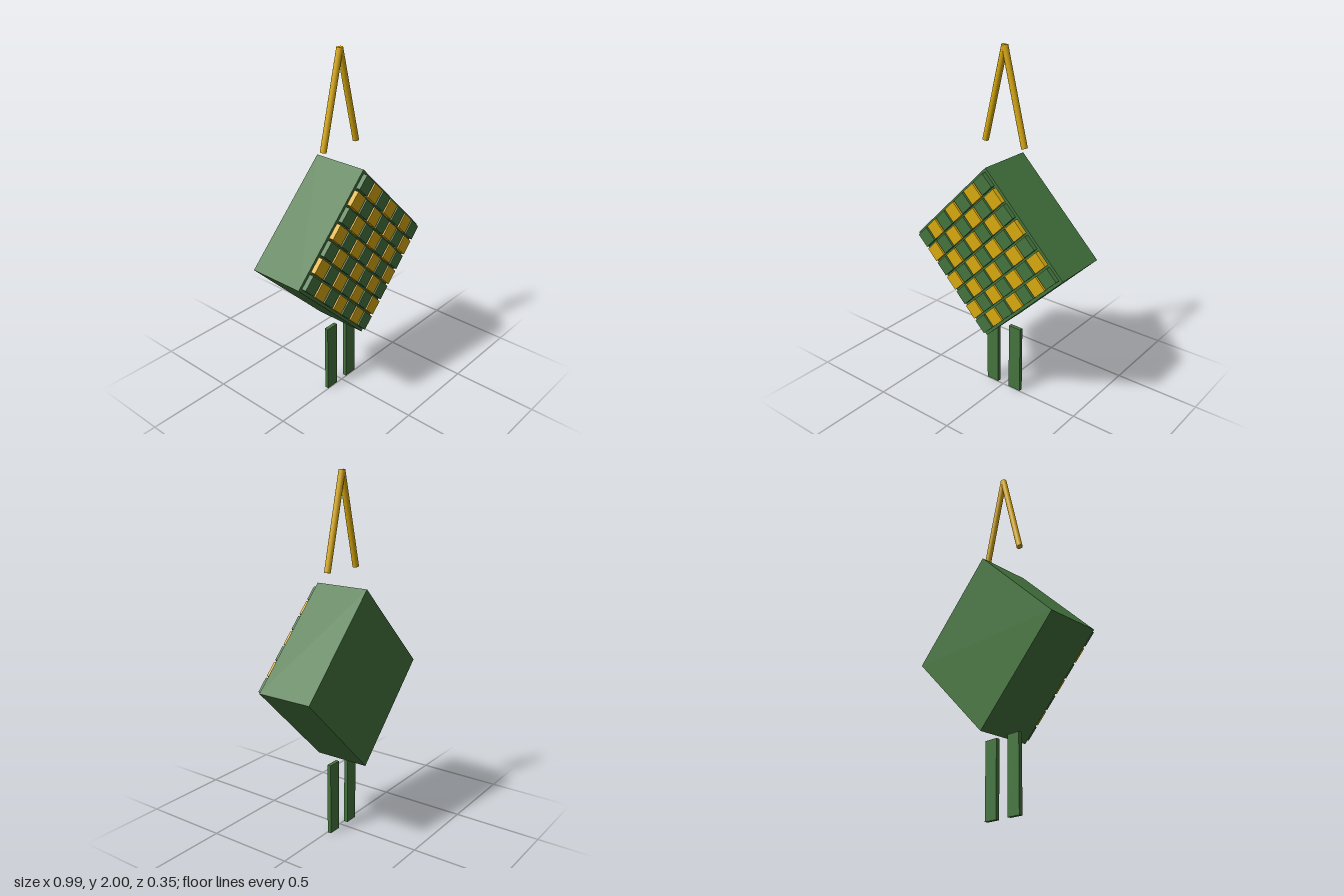
import * as THREE from 'three';

export function createModel() {
  const model = new THREE.Group();
  const green = new THREE.MeshStandardMaterial({ name: 'green', color: 0x45753f });
  const gold = new THREE.MeshStandardMaterial({ name: 'gold', color: 0xd9aa10 });
  const midZ = -0.013;

  const add = (parent, name, geometry, material, x, y, z) => {
    const mesh = new THREE.Mesh(geometry, material);
    mesh.name = name;
    mesh.position.set(x, y, z);
    parent.add(mesh);
    return mesh;
  };

  // Square body standing on one corner
  const body = new THREE.Group();
  body.name = 'body';
  body.position.y = 0.905;
  body.rotation.z = Math.PI / 4;
  model.add(body);
  add(body, 'bodyBlock', new THREE.BoxGeometry(0.7, 0.7, 0.32), green, 0, 0, midZ);

  // Checkerboard of raised tiles on the front
  const tile = new THREE.BoxGeometry(0.085, 0.085, 0.026);
  const pitch = 0.097;
  for (let i = -3; i <= 3; i++) {
    for (let j = -3; j <= 3; j++) {
      const even = (i + j) % 2 === 0;
      add(body, even ? 'greenTile' : 'goldTile', tile, even ? green : gold, i * pitch, j * pitch, 0.16);
    }
  }

  // Mirrored legs and hanger rods
  const leg = new THREE.BoxGeometry(0.08, 0.415, 0.022);
  const top = new THREE.Vector3(0, 1.996, midZ);
  for (const side of [-1, 1]) {
    add(model, side > 0 ? 'leftLeg' : 'rightLeg', leg, green, side * 0.08, 0.2075, midZ);

    const foot = new THREE.Vector3(side * 0.128, 1.487, midZ);
    const along = top.clone().sub(foot);
    const mid = top.clone().add(foot).multiplyScalar(0.5);
    const rod = add(model, side > 0 ? 'leftHangerRod' : 'rightHangerRod',
      new THREE.CylinderGeometry(0.0175, 0.0175, along.length(), 12), gold, mid.x, mid.y, mid.z);
    rod.quaternion.setFromUnitVectors(new THREE.Vector3(0, 1, 0), along.normalize());
  }
  return model;
}
